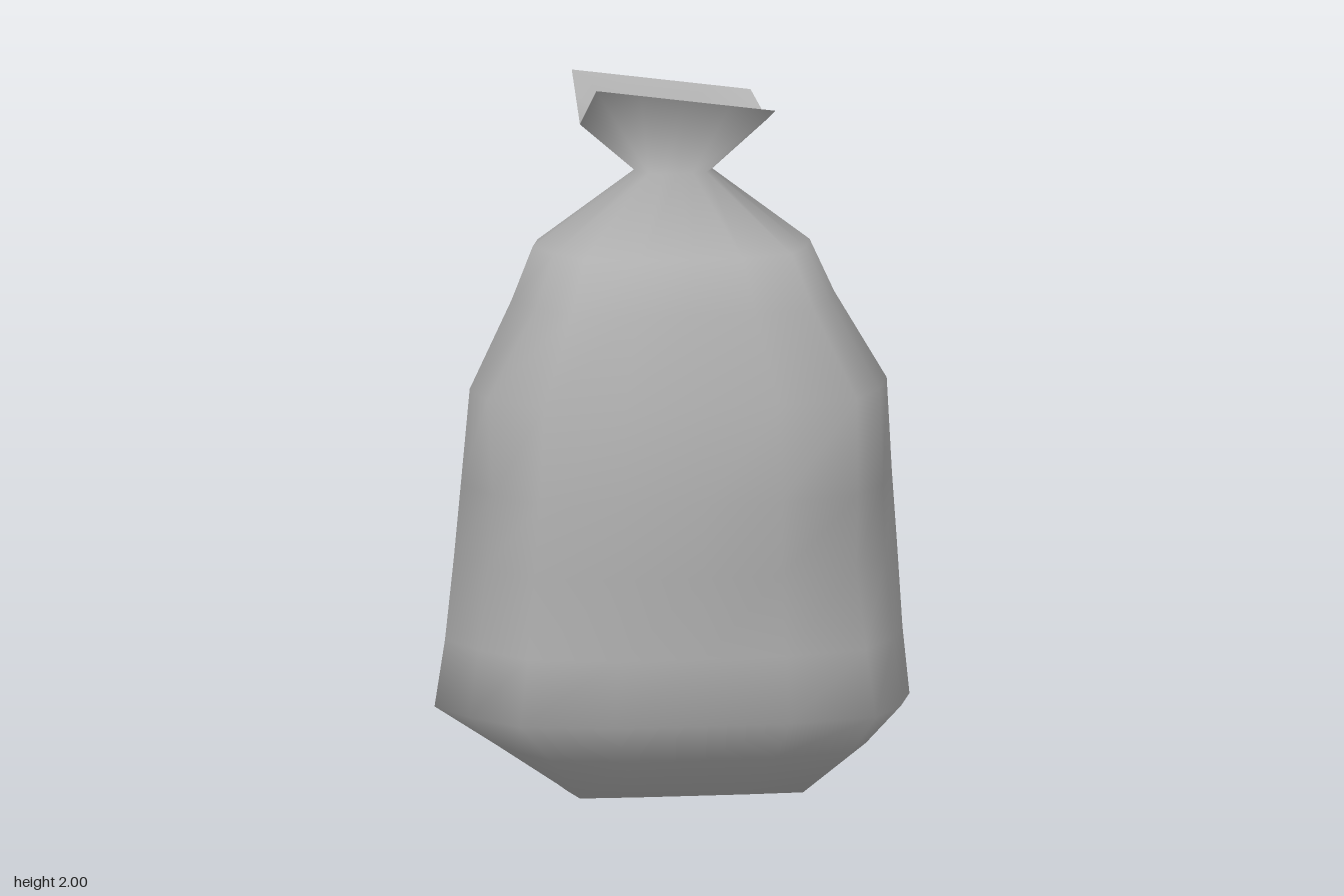
import * as THREE from 'three';

// one quarter of a cross-section, soft-cornered and square-cornered
const SOFT = [[1, 0], [0.91, 0.43], [0.75, 0.84], [0.37, 0.99]];
const SQUARE = [[1, 0], [1, 0.5], [1, 1], [0.5, 1]];
const TOP = [[0, 1]];

// full loop of 16 unit points, starting at +x and turning towards +z
function section(square) {
  const mix = (i) => SOFT[i].map((v, k) => v + (SQUARE[i][k] - v) * square);
  const q = [0, 1, 2, 3].map(mix);
  const half = [...q, ...TOP, ...q.slice(1).reverse().map(([x, z]) => [-x, z]), [-1, 0]];
  return [...half, ...half.slice(1, -1).reverse().map(([x, z]) => [x, -z])];
}

// y, left x, right x, front z, back z, squareness
const ROWS = [
  [0.0, 0.34, -0.33, 0.28, -0.25, 0.8],
  [0.12, 0.56, -0.51, 0.39, -0.355, 0.2],
  [0.23, 0.675, -0.68, 0.49, -0.455, 0],
  [0.42, 0.655, -0.65, 0.485, -0.445, 0],
  [0.65, 0.64, -0.625, 0.485, -0.495, 0],
  [0.86, 0.625, -0.605, 0.49, -0.485, 0],
  [1.13, 0.61, -0.58, 0.455, -0.47, 0],
  [1.38, 0.46, -0.46, 0.375, -0.385, 0],
  [1.53, 0.39, -0.4, 0.315, -0.29, 0],
  [1.74, 0.11, -0.11, 0.09, -0.07, 0],
];

// soft creases and bulges: centre, radius, push
const DENTS = [
  [[0.47, 0.65, 0.41], 0.4, [-0.025, 0, -0.03]],
  [[0.45, 1.15, -0.35], 0.2, [-0.02, 0, 0.02]],
  [[0.47, 0.72, -0.41], 0.38, [-0.03, 0, 0.045]],
  [[0.35, 1.38, -0.32], 0.15, [0.03, 0, -0.025]],
  [[0.25, 0.75, -0.48], 0.2, [0, 0, 0.025]],
  [[-0.25, 0.75, -0.48], 0.2, [0, 0, 0.025]],
  [[-0.47, 1.0, -0.36], 0.4, [0.06, 0, 0.05]],
  [[-0.47, 0.6, -0.4], 0.3, [0.04, 0, 0.04]],
  [[-0.35, 1.38, -0.32], 0.15, [0.015, 0, 0.015]],
  [[-0.52, 1.13, -0.2], 0.18, [0.025, 0, 0]],
  [[-0.52, 1.13, 0.2], 0.18, [-0.04, 0, 0.01]],
];

function bodyRow([y, xl, xr, zf, zb, sq]) {
  return section(sq).map(([u, w]) => {
    const p = new THREE.Vector3(u > 0 ? u * xl : -u * xr, y, w > 0 ? w * zf : -w * zb);
    const base = p.clone();
    for (const [c, r, push] of DENTS) {
      const t = 1 - base.distanceTo(new THREE.Vector3(...c)) / r;
      if (t > 0) p.addScaledVector(new THREE.Vector3(...push), t);
    }
    return p;
  });
}

// rectangular rim, high at the corners and low at the two sides
function mouthRow() {
  return section(1).map(([u, w]) => {
    const corner = 1.965 - 0.035 * u;
    const y = 1.875 + (corner - 1.875) * Math.abs(w);
    const x = u * (0.267 - 0.012 * Math.abs(w));
    return new THREE.Vector3(x, y, w * 0.198 + 0.01);
  });
}

// skin over stacked loops, the first of them closed by a fan around tip
function loft(loops, tip) {
  const n = loops[0].length;
  const pts = [...loops.flat(), tip];
  const index = [];
  for (let i = 0; i < loops.length - 1; i++) {
    for (let j = 0; j < n; j++) {
      const k = (j + 1) % n;
      const a = i * n + j, b = i * n + k, c = a + n, d = b + n;
      index.push(a, c, b, b, c, d);
    }
  }
  for (let j = 0; j < n; j++) index.push(pts.length - 1, j, (j + 1) % n);
  const geo = new THREE.BufferGeometry().setFromPoints(pts);
  geo.setIndex(index);
  geo.computeVertexNormals();
  return geo;
}

export function createModel() {
  const model = new THREE.Group();
  model.name = 'tiedSack';
  const plastic = new THREE.MeshStandardMaterial({ color: 0xb0b0b0, side: THREE.DoubleSide });
  plastic.name = 'grey plastic';

  // body, pinched neck and flared mouth in one smooth skin
  const rim = mouthRow();
  const skin = loft([...ROWS.map(bodyRow), rim], new THREE.Vector3(0, 0, 0.015));
  const sack = new THREE.Mesh(skin, plastic);
  sack.name = 'sack';
  model.add(sack);

  // saddle-shaped gather inside the mouth, facing up
  const gather = new THREE.Mesh(loft([rim.reverse()], new THREE.Vector3(0, 1.81, 0.01)), plastic);
  gather.name = 'mouthGather';
  model.add(gather);

  return model;
}
